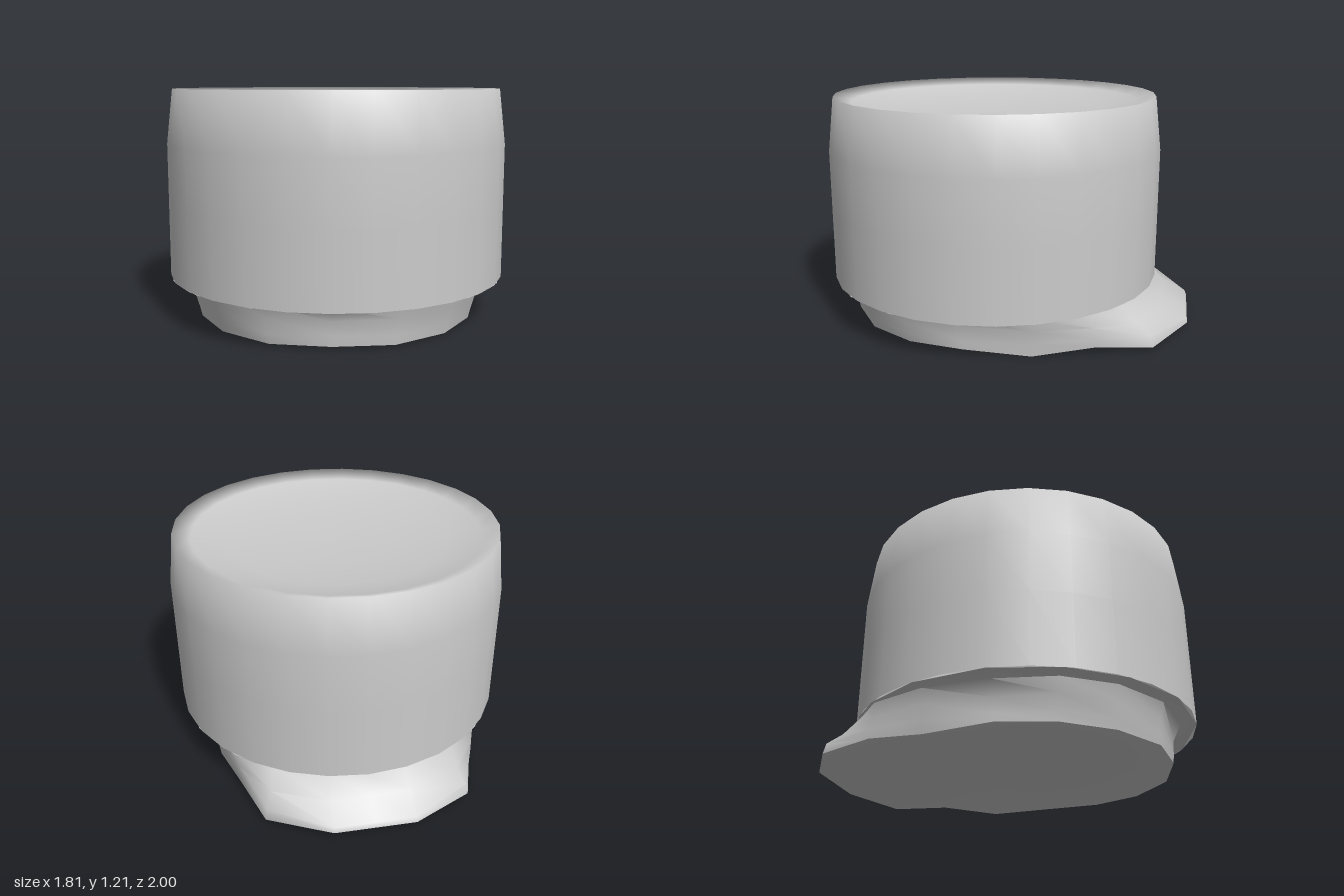
import * as THREE from 'three';
import { toCreasedNormals } from 'three/addons/utils/BufferGeometryUtils.js';

const CENTER_Z = 0.09;
const DRUM_RADIUS = 0.905;
const DRUM_BOTTOM = 0.215;

// Mirrors half an outline, given front to back as [x, y, z], into a closed loop.
function mirrorLoop(half) {
  const other = half.slice(1, -1).reverse().map(([x, y, z]) => [-x, y, z]);
  return [...half, ...other];
}

// Shrinks a loop towards the axis and sets it at one height.
function inset(loop, scale, y) {
  return loop.map(([x, , z]) => [x * scale, y, z * scale]);
}

// Pushes a loop out to the rim of the drum.
function toDrumRim(loop) {
  return loop.map(([x, y, z]) => {
    const k = DRUM_RADIUS / Math.hypot(x, z - CENTER_Z);
    return [x * k, y, CENTER_Z + (z - CENTER_Z) * k];
  });
}

// Skins loops of equal length in order and closes the first one with a fan.
function loft(loops, capCenter) {
  const n = loops[0].length;
  const positions = [...loops.flat(), capCenter].flat();
  const index = [];
  for (let k = 0; k < loops.length - 1; k++) {
    for (let i = 0; i < n; i++) {
      const j = (i + 1) % n;
      const a = k * n + i, b = k * n + j, c = b + n, d = a + n;
      index.push(a, b, d, b, c, d);
    }
  }
  const center = loops.length * n;
  for (let i = 0; i < n; i++) index.push(center, (i + 1) % n, i);
  const geometry = new THREE.BufferGeometry();
  geometry.setAttribute('position', new THREE.Float32BufferAttribute(positions, 3));
  geometry.setIndex(index);
  return toCreasedNormals(geometry, 1.1);
}

export function createModel() {
  const group = new THREE.Group();
  const material = new THREE.MeshStandardMaterial({ color: 0xcccccc, side: THREE.DoubleSide });

  // Wide drum, tapering slightly to a soft rim around a shallow dished top
  const profile = [
    [DRUM_RADIUS, DRUM_BOTTOM], [DRUM_RADIUS, 0.6], [DRUM_RADIUS, 0.92], [0.872, 1.205],
    [0.78, 1.17], [0.6, 1.13], [0.3, 1.105], [0, 1.1],
  ].map(([r, y]) => new THREE.Vector2(r, y));
  const drum = new THREE.Mesh(new THREE.LatheGeometry(profile, 28), material);
  drum.name = 'drum';
  drum.position.z = CENTER_Z;
  group.add(drum);

  // Narrower base with a hollowed underside, flaring into a low lip at the back
  const bottom = mirrorLoop([
    [0, 0.015, 0.86], [0.3, 0.01, 0.81], [0.55, 0.01, 0.63], [0.7, 0.015, 0.38], [0.75, 0.02, 0.09],
    [0.72, 0, -0.25], [0.63, 0.035, -0.55], [0.53, 0.015, -0.83], [0.21, 0.03, -1], [0, 0.03, -1],
  ]);
  const middle = mirrorLoop([
    [0, 0.07, 0.865], [0.31, 0.06, 0.815], [0.56, 0.06, 0.635], [0.71, 0.06, 0.385], [0.75, 0.06, 0.09],
    [0.73, 0.07, -0.25], [0.635, 0.08, -0.55], [0.52, 0.07, -0.82], [0.21, 0.055, -0.99], [0, 0.055, -0.99],
  ]);
  const shoulder = mirrorLoop([
    [0, 0.14, 0.87], [0.32, 0.14, 0.82], [0.58, 0.14, 0.64], [0.73, 0.14, 0.4], [0.75, 0.14, 0.09],
    [0.74, 0.14, -0.25], [0.637, 0.14, -0.54], [0.49, 0.125, -0.75], [0.21, 0.115, -0.86], [0, 0.115, -0.86],
  ]);
  const top = mirrorLoop([
    [0, DRUM_BOTTOM, 0.91], [0.34, DRUM_BOTTOM, 0.84], [0.6, DRUM_BOTTOM, 0.65], [0.75, DRUM_BOTTOM, 0.4],
    [0.79, DRUM_BOTTOM, 0.09], [0.76, DRUM_BOTTOM, -0.25], [0.64, DRUM_BOTTOM, -0.53],
    [0.48, DRUM_BOTTOM, -0.66], [0.2, DRUM_BOTTOM, -0.78], [0, DRUM_BOTTOM, -0.81],
  ]);
  const hollow = [inset(bottom, 0.35, 0.115), inset(bottom, 0.7, 0.085)];
  const base = new THREE.Mesh(
    loft([...hollow, bottom, middle, shoulder, top, toDrumRim(top)], [0, 0.12, 0]), material);
  base.name = 'baseWithBackLip';
  group.add(base);

  return group;
}
